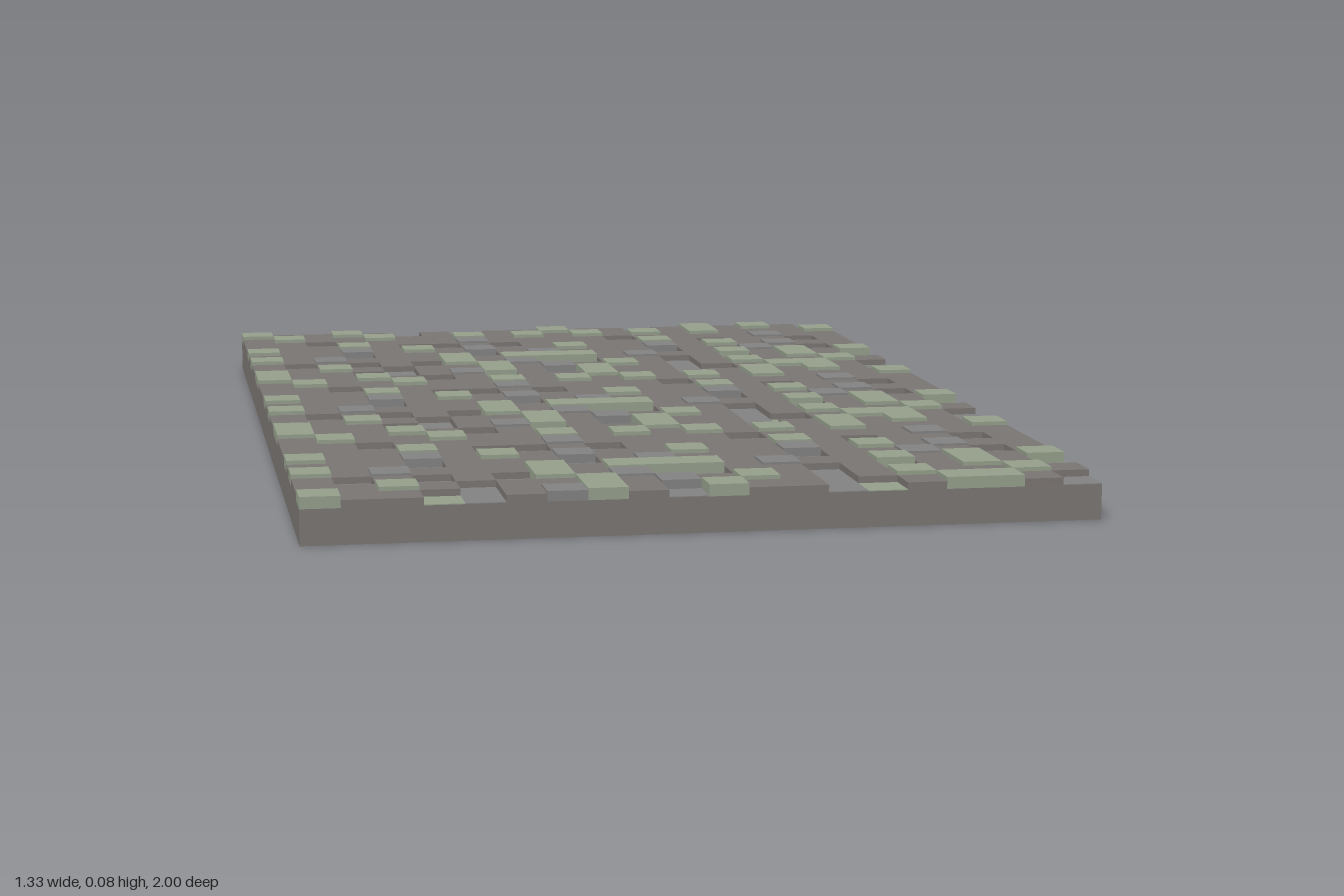
import * as THREE from 'three';
import { mergeGeometries } from 'three/addons/utils/BufferGeometryUtils.js';

const COLS = 20, ROWS = 30, CELL = 2 / ROWS, BED = 0.06;

// Ten rows of paving, repeated along z.
// '.' plain stone, 'g' mossy stone, 'l' light stone, 'o' sunken light stone, 'm' sunken mossy stone
const PATTERN = [
  'g..g.o.o..g..o.g.g.o',
  '.g..g..g.g.g.g.g...g',
  '..o....l....o....l..',
  '...g.oo.o....g.o..o.',
  'g..l.g.l..g..l.g.l..',
  '...o...o.l...o..l.o.',
  'g.l...g.ggg.l..g.g.g',
  '.o.o.og.loo..o.o.g.o',
  '..g.o..g.l.g.o.g..g.',
  'g..mo.lg.og..om.gg.o',
];

const KINDS = {
  '.': { name: 'plainStones', color: 0x7a7572, top: 0.073 },
  g: { name: 'mossyStones', color: 0x949f8b, top: 0.08 },
  l: { name: 'lightStones', color: 0x828282, top: 0.077 },
  o: { name: 'sunkenStones', color: 0x828282, top: 0.0615 },
  m: { name: 'sunkenMossyStones', color: 0x949f8b, top: 0.0615 },
};

// Block standing on a given height
function block(w, d, y0, y1, x, z) {
  return new THREE.BoxGeometry(w, y1 - y0, d).translate(x, (y0 + y1) / 2, z);
}

function addMesh(group, name, geometry, color) {
  const mesh = new THREE.Mesh(geometry, new THREE.MeshStandardMaterial({ color, flatShading: true }));
  mesh.name = name;
  group.add(mesh);
}

export function createModel() {
  const group = new THREE.Group();
  group.name = 'pavedFloor';

  // Solid bed under the stones
  addMesh(group, 'bed', block(COLS * CELL, ROWS * CELL, 0, BED, 0, 0), 0x7a7572);

  // Square stones, gathered by kind
  const stones = {};
  for (let r = 0; r < ROWS; r++) {
    for (let c = 0; c < COLS; c++) {
      const kind = PATTERN[r % PATTERN.length][c];
      const x = (c + 0.5 - COLS / 2) * CELL, z = (r + 0.5 - ROWS / 2) * CELL;
      (stones[kind] ??= []).push(block(CELL, CELL, BED, KINDS[kind].top, x, z));
    }
  }
  for (const [kind, parts] of Object.entries(stones)) {
    addMesh(group, KINDS[kind].name, mergeGeometries(parts), KINDS[kind].color);
  }
  return group;
}
